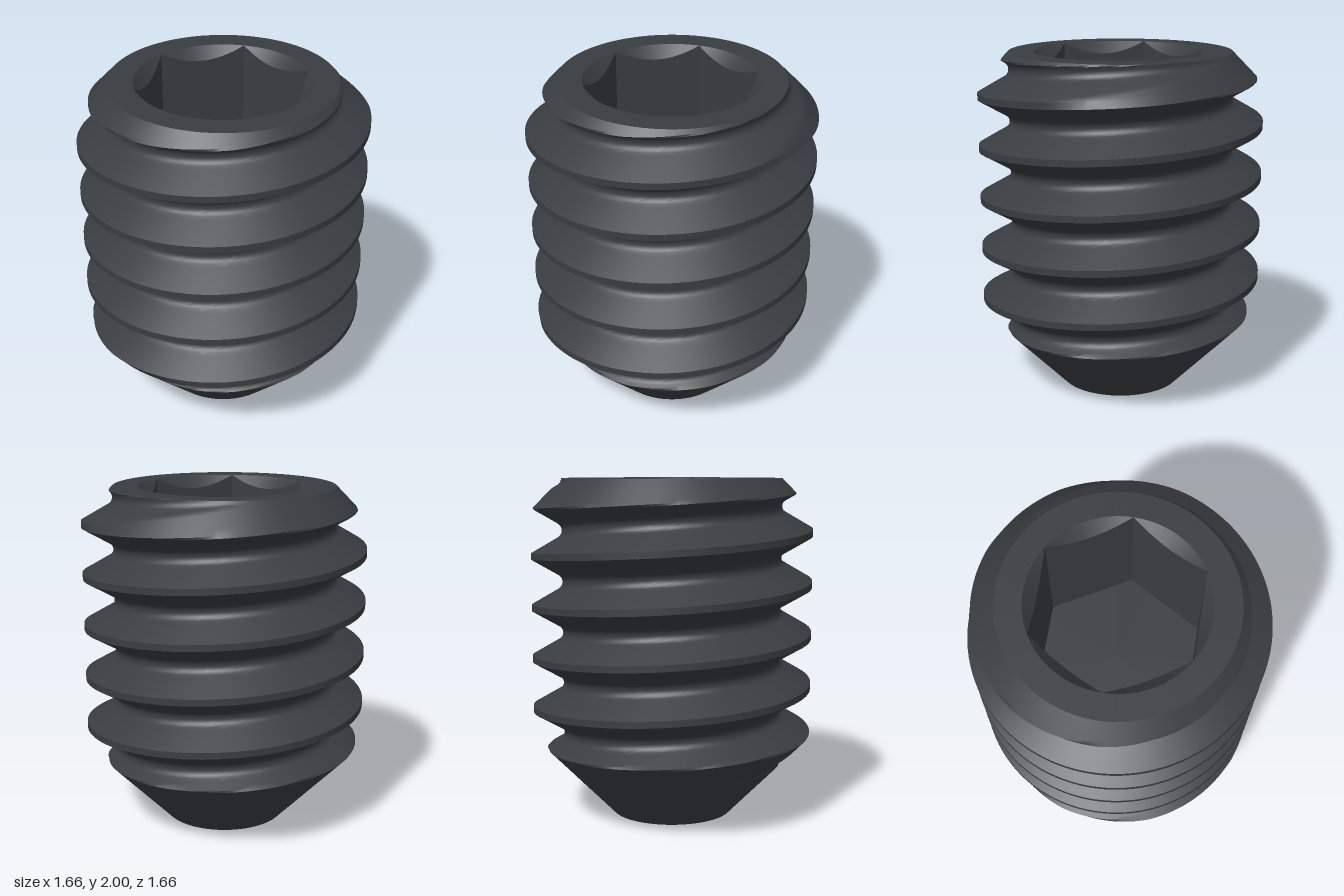
import * as THREE from 'three';
import { toCreasedNormals } from 'three/addons/utils/BufferGeometryUtils.js';

const SEG = 144, PITCH = 0.302, HEIGHT = 2;
const CREST_R = 0.83, CREST_Y = 1.73, CREST_HALF = 0.019, ROOT_ARC = 0.047;
const TIP_R = 0.358, TOP_R = 0.648, SLOPE = 0.975;
const SOCKET_R = 0.5, SOCKET_FLOOR = 1.2;

// Skin round the y axis: each row maps an angle to [radius, y]
function skin(rows) {
  const pts = rows.map((row) => Array.from({ length: SEG + 1 }, (_, i) => {
    const a = (i / SEG) * Math.PI * 2;
    const [r, y] = row(a);
    return new THREE.Vector3(Math.sin(a) * r, y, Math.cos(a) * r);
  }));
  const out = [];
  const tri = (...t) => {
    if (new THREE.Triangle(...t).getArea() > 1e-8) t.forEach((p) => out.push(p.x, p.y, p.z));
  };
  for (let j = 0; j + 1 < rows.length; j++) {
    for (let i = 0; i < SEG; i++) {
      const a = pts[j][i], b = pts[j][i + 1], c = pts[j + 1][i + 1], d = pts[j + 1][i];
      tri(a, b, c);
      tri(a, c, d);
    }
  }
  const geo = new THREE.BufferGeometry();
  geo.setAttribute('position', new THREE.Float32BufferAttribute(out, 3));
  return toCreasedNormals(geo, 0.42);
}

// One pitch of the 60 degree thread: [offset above crest centre, radius]
function threadProfile() {
  const tan60 = Math.sqrt(3), mid = PITCH / 2;
  const apex = CREST_R - tan60 * (mid - CREST_HALF);
  const flankEnd = mid - ROOT_ARC * Math.cos(Math.PI / 6);
  const flank = [];
  for (let i = 0; i <= 8; i++) {
    const y = THREE.MathUtils.lerp(CREST_HALF, flankEnd, i / 8);
    flank.push([y, CREST_R - tan60 * (y - CREST_HALF)]);
  }
  // rounded root, tangent to both flanks
  const root = [];
  for (let i = 1; i < 10; i++) {
    const t = THREE.MathUtils.lerp(-Math.PI / 3, Math.PI / 3, i / 10);
    root.push([mid + ROOT_ARC * Math.sin(t), apex + ROOT_ARC * (2 - Math.cos(t))]);
  }
  const back = flank.map(([y, r]) => [PITCH - y, r]).reverse();
  return [...flank, ...root, ...back];
}

// Helical rows, trimmed by the pointed tip and the top chamfer
function threadRows() {
  const rows = [];
  const profile = threadProfile();
  for (let k = -7; k <= 1; k++) {
    for (const [dy, r] of profile) {
      rows.push((a) => {
        const lift = CREST_Y + PITCH * (k + a / (Math.PI * 2));
        const y = THREE.MathUtils.clamp(lift + dy, 0, HEIGHT);
        return [Math.min(r, TIP_R + SLOPE * y, TOP_R + SLOPE * (HEIGHT - y)), y];
      });
    }
  }
  return rows;
}

// Hexagon radius, flats facing front and back
function hexRadius(a) {
  const third = Math.PI / 3;
  const off = a - Math.round(a / third) * third;
  return (SOCKET_R * Math.cos(Math.PI / 6)) / Math.cos(off);
}

export function createModel() {
  const group = new THREE.Group();
  group.name = 'setScrew';
  const material = new THREE.MeshStandardMaterial({ color: 0x3a3d40 });
  const add = (name, rows) => {
    const mesh = new THREE.Mesh(skin(rows), material);
    mesh.name = name;
    group.add(mesh);
  };

  const ring = (r, y) => () => [r, y];
  const hexTop = (a) => [hexRadius(a), HEIGHT - (SOCKET_R - hexRadius(a))];
  const hexBottom = (a) => [hexRadius(a), SOCKET_FLOOR];

  add('threadedBody', threadRows());
  add('topFace', [ring(TOP_R, HEIGHT), ring(SOCKET_R, HEIGHT)]);
  add('socketCountersink', [ring(SOCKET_R, HEIGHT), hexTop]);
  add('socketWalls', [hexTop, hexBottom]);
  add('socketFloor', [hexBottom, ring(0, SOCKET_FLOOR)]);
  // conical hollow in the tip
  add('cupPoint', [ring(0, 0.208), ring(TIP_R, 0)]);
  return group;
}
